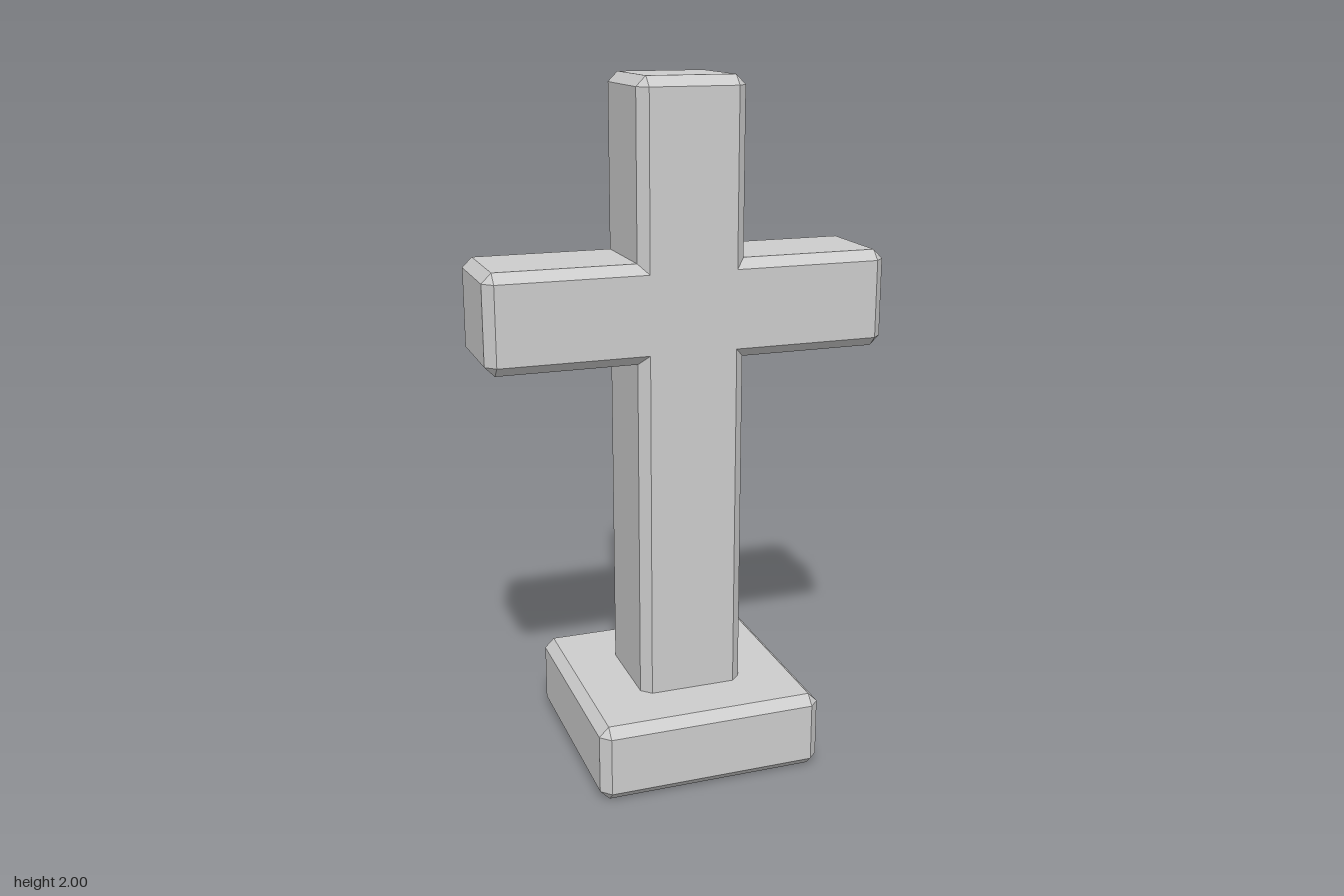
import * as THREE from 'three';
import { ConvexGeometry } from 'three/addons/geometries/ConvexGeometry.js';

const BEVEL = 0.028;

// Box with every edge chamfered; each corner becomes three points, one per face
function chamferedBox(width, height, depth) {
  const [x, y, z] = [width / 2, height / 2, depth / 2];
  const points = [];
  for (const sx of [-1, 1]) for (const sy of [-1, 1]) for (const sz of [-1, 1]) {
    points.push(
      new THREE.Vector3(sx * x, sy * (y - BEVEL), sz * (z - BEVEL)),
      new THREE.Vector3(sx * (x - BEVEL), sy * y, sz * (z - BEVEL)),
      new THREE.Vector3(sx * (x - BEVEL), sy * (y - BEVEL), sz * z)
    );
  }
  return new ConvexGeometry(points);
}

export function createModel() {
  const model = new THREE.Group();
  model.name = 'stoneCross';
  const stone = new THREE.MeshStandardMaterial({ color: 0xcccccc });
  stone.name = 'pale grey stone';

  // Each block spans bottom to top, centred on the upright axis
  function addBlock(name, width, bottom, top, depth) {
    const mesh = new THREE.Mesh(chamferedBox(width, top - bottom, depth), stone);
    mesh.name = name;
    mesh.position.y = (bottom + top) / 2;
    model.add(mesh);
  }

  addBlock('base', 0.67, 0, 0.228, 0.67);
  addBlock('upright', 0.31, 0.15, 2, 0.31); // foot is set into the base
  addBlock('crossArm', 1.168, 1.224, 1.505, 0.31); // flush with the upright

  return model;
}
